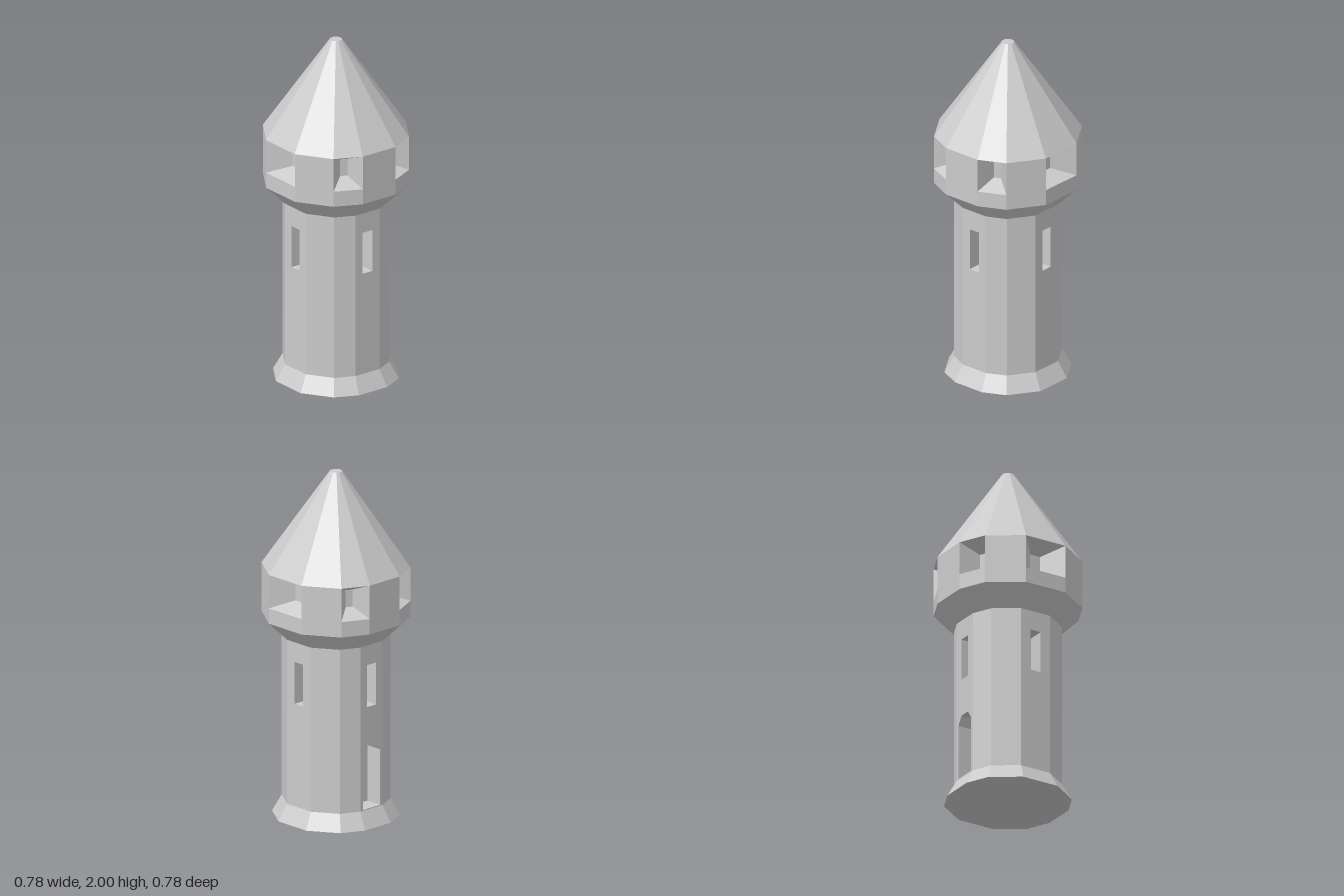
import * as THREE from 'three';

const mat = new THREE.MeshStandardMaterial({ color: 0xcccccc, flatShading: true });

// Twelve-sided plan of unit apothem as [x, z], starting with the front side and turning towards +x
const quarter = [[0.333, 1], [0.82, 0.68], [1, 0.295]];
const leftHalf = [...quarter, ...quarter.map(([x, z]) => [x, -z]).reverse()];
const rightHalf = leftHalf.map(([x, z]) => [-x, z]).reverse();
const plan = [rightHalf[5], ...leftHalf, ...rightHalf.slice(0, 5)];

const ring = (r, y) => plan.map(([x, z]) => new THREE.Vector3(x * r, y, z * r));
const rect = (w, y0, y1) => [[-w, y0], [w, y0], [w, y1], [-w, y1]];
const toShape = pts => new THREE.Shape(pts.map(([x, y]) => new THREE.Vector2(x, y)));

// Skin between two closed loops of points
function loft(a, b) {
  const pts = [];
  a.forEach((p, i) => {
    const j = (i + 1) % a.length;
    pts.push(p, a[j], b[j], p, b[j], b[i]);
  });
  const g = new THREE.BufferGeometry().setFromPoints(pts);
  g.computeVertexNormals();
  return g;
}

function add(parent, name, geometry) {
  const mesh = new THREE.Mesh(geometry, mat);
  mesh.name = name;
  parent.add(mesh);
  return mesh;
}

// Flat cap over the plan; dir is 1 to face up, -1 to face down
function cap(parent, name, r, y, dir) {
  const shape = toShape(plan.map(([x, z]) => [x * r, -dir * z * r]));
  const mesh = add(parent, name, new THREE.ShapeGeometry(shape));
  mesh.rotation.x = -dir * Math.PI / 2;
  mesh.position.y = y;
}

// Group lying on one side of the tower: local x along the wall, z outwards
function side(parent, name, i, r) {
  const [ax, az] = plan[i], [bx, bz] = plan[(i + 1) % plan.length];
  const group = new THREE.Group();
  group.name = name;
  group.position.set((ax + bx) / 2 * r, 0, (az + bz) / 2 * r);
  group.rotation.y = Math.atan2(az - bz, bx - ax);
  parent.add(group);
  return { group, halfWidth: Math.hypot(bx - ax, bz - az) / 2 * r };
}

// Opening running inwards from an outer outline to an inner one
function recess(parent, name, outer, inner, depth) {
  const at = (pts, z) => pts.map(([x, y]) => new THREE.Vector3(x, y, z));
  add(parent, name + 'Reveal', loft(at(outer, 0), at(inner, -depth)));
  add(parent, name + 'Back', new THREE.ShapeGeometry(toShape(inner))).position.z = -depth;
}

export function createModel() {
  const tower = new THREE.Group();
  tower.name = 'tower';
  const rBase = 0.335, rBody = 0.284, rCabin = 0.39, rTip = 0.033;
  const yBase = 0.095, yNeck = 1.055, yCabin = 1.165, ySill = 1.255, yEave = 1.45;

  // Sloped bands and end caps
  add(tower, 'baseFlare', loft(ring(rBase, 0), ring(rBody, yBase)));
  add(tower, 'corbel', loft(ring(rBody, yNeck), ring(rCabin, yCabin)));
  add(tower, 'roof', loft(ring(rCabin, yEave), ring(rTip, 2)));
  cap(tower, 'roofTip', rTip, 2, 1);
  cap(tower, 'underside', rBase, 0, -1);

  // Shaft: slits on the four main sides and an arched door on the right side
  const slit = rect(0.034, 0.695, 0.94);
  const door = [[-0.065, 0.1], [0.065, 0.1], [0.065, 0.425], [0.033, 0.475], [-0.033, 0.475], [-0.065, 0.425]];
  plan.forEach((_, i) => {
    const { group, halfWidth } = side(tower, 'shaftSide', i, rBody);
    const openings = [];
    if (i % 3 === 0) openings.push(['slit', slit]);
    if (i === 9) openings.push(['door', door]);
    const shape = toShape(rect(halfWidth, yBase, yNeck));
    for (const [name, outline] of openings) {
      shape.holes.push(toShape(outline));
      recess(group, name, outline, outline, 0.1);
    }
    add(group, 'shaftWall', new THREE.ShapeGeometry(shape));
  });

  // Lookout room: splayed windows on every other side
  plan.forEach((_, i) => {
    const { group, halfWidth } = side(tower, 'lookoutSide', i, rCabin);
    const open = i % 2 === 0;
    const wall = toShape(rect(halfWidth, yCabin, open ? ySill : yEave));
    add(group, 'lookoutWall', new THREE.ShapeGeometry(wall));
    if (open) recess(group, 'window', rect(halfWidth, ySill, yEave), rect(halfWidth * 0.25, 1.3, 1.4), 0.11);
  });
  return tower;
}
